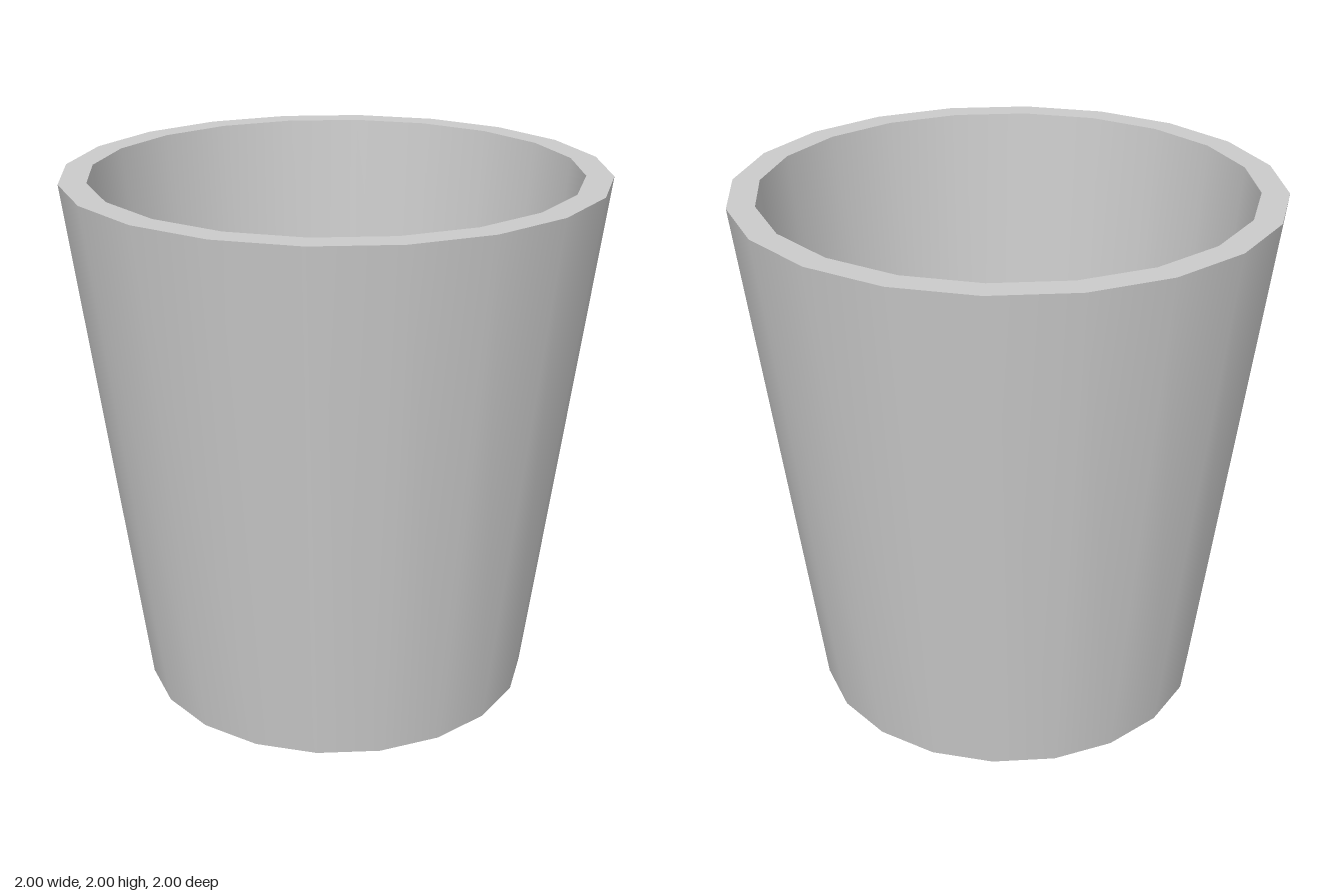
import * as THREE from 'three';

const SIDES = 20;

export function createModel() {
  const cup = new THREE.Group();
  cup.name = 'cup';
  const material = new THREE.MeshStandardMaterial({ color: 0xcccccc });

  // Closed wall profile (radius, height), from the base centre round to the floor centre
  const profile = [[0, 0], [0.747, 0], [1, 2], [0.9, 2], [0.741, 0.06], [0, 0.06]]
    .map(([r, y]) => new THREE.Vector2(r, y));
  const names = ['base', 'outerWall', 'rim', 'innerWall', 'floor'];

  // Each band is its own lathe: smooth around, sharp at the rim and base edges
  names.forEach((name, i) => {
    const band = new THREE.LatheGeometry([profile[i], profile[i + 1]], SIDES);
    const mesh = new THREE.Mesh(band, material);
    mesh.name = name;
    cup.add(mesh);
  });

  return cup;
}
